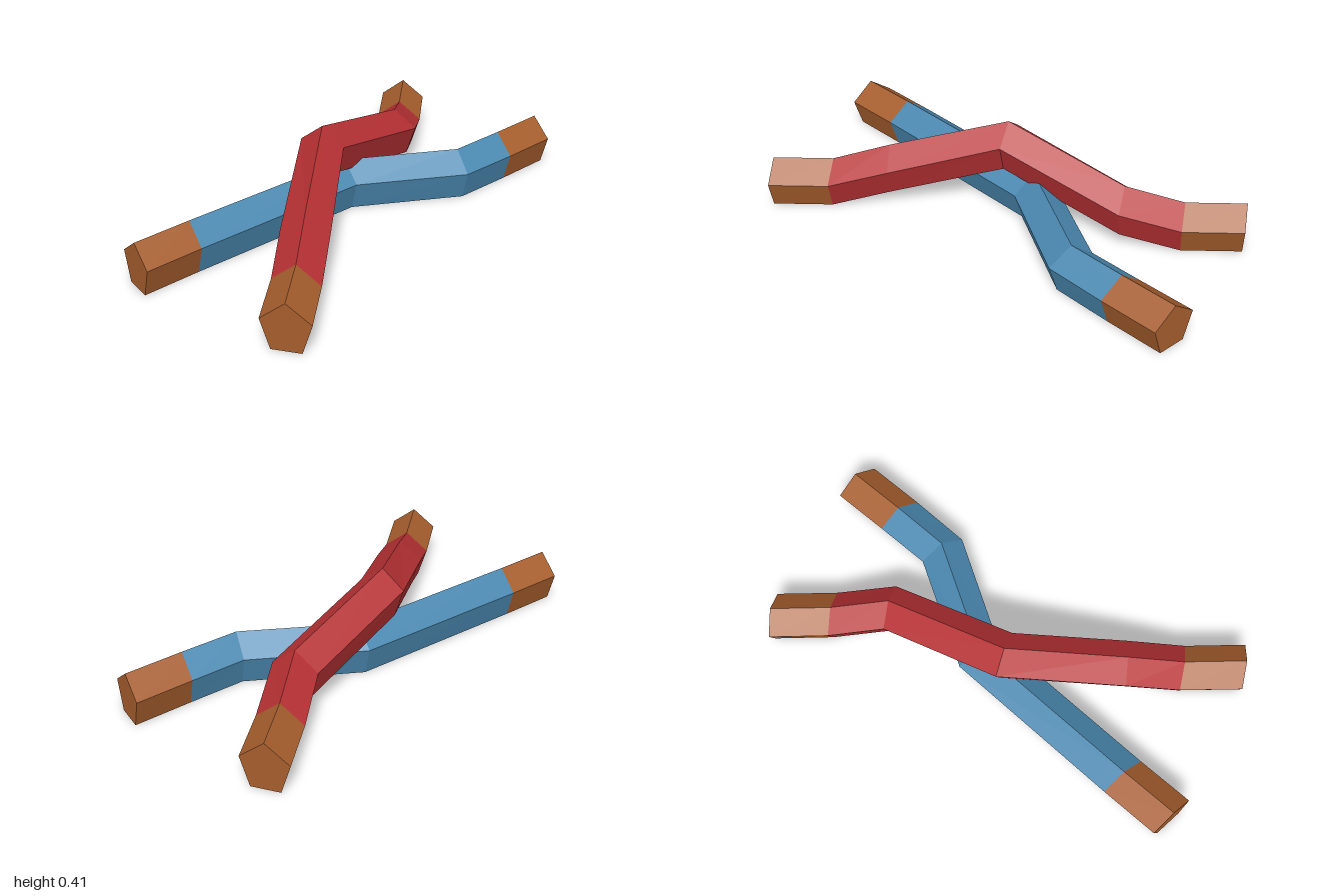
import * as THREE from 'three';

const mat = (name, color) => {
  const m = new THREE.MeshStandardMaterial({ color, flatShading: true });
  m.name = name;
  return m;
};

// Pentagon cross-section, counter-clockwise seen from the front: [sideways, height]
const PENTAGON = [[0, 0.205], [-0.099, 0.127], [-0.06, 0.002], [0.06, 0.002], [0.099, 0.127]];

// Ring of points at [x, lift, z, sideX, sideZ]; (sideX, sideZ) points across the strand
function ring([x, lift, z, sx, sz]) {
  const len = Math.hypot(sx, sz);
  return PENTAGON.map(([s, h]) => [x + (s * sx) / len, lift + h, z + (s * sz) / len]);
}

// Skin a run of rings going from front to back, optionally capping either end
function loft(stations, capFront, capBack) {
  const rings = stations.map(ring);
  const pos = [];
  const tri = (a, b, c) => pos.push(...a, ...b, ...c);
  for (let i = 0; i < rings.length - 1; i++) {
    const near = rings[i], far = rings[i + 1];
    for (let j = 0; j < 5; j++) {
      const k = (j + 1) % 5;
      tri(near[j], far[j], far[k]);
      tri(near[j], far[k], near[k]);
    }
  }
  const first = rings[0], last = rings[rings.length - 1];
  for (let j = 1; j < 4; j++) {
    if (capFront) tri(first[0], first[j], first[j + 1]);
    if (capBack) tri(last[0], last[j + 1], last[j]);
  }
  const geo = new THREE.BufferGeometry();
  geo.setAttribute('position', new THREE.Float32BufferAttribute(pos, 3));
  geo.computeVertexNormals();
  return geo;
}

// One bent strand: coloured body with a brown tip at each end
function strand(name, stations, bodyMat, tipMat) {
  const group = new THREE.Group();
  group.name = name;
  const add = (part, geo, m) => {
    const mesh = new THREE.Mesh(geo, m);
    mesh.name = part;
    group.add(mesh);
  };
  add(name + 'FrontTip', loft(stations.slice(0, 2), true, false), tipMat);
  add(name + 'Body', loft(stations.slice(1, -1), false, false), bodyMat);
  add(name + 'BackTip', loft(stations.slice(-2), false, true), tipMat);
  return group;
}

export function createModel() {
  const red = mat('red', 0xb53033);
  const blue = mat('blue', 0x4a88b0);
  const brown = mat('brown', 0xa65e2d);
  const model = new THREE.Group();
  model.name = 'crossedStrands';

  // Upper strand arches over the lower one
  model.add(strand('upperStrand', [
    [0.487, 0, 0.873, 0.175, -0.095],
    [0.333, 0, 0.667, 0.18, -0.09],
    [0.187, 0.075, 0.472, 0.165, -0.11],
    [-0.114, 0.205, 0.067, 0.19, -0.055],
    [-0.188, 0.075, -0.472, 0.185, -0.075],
    [-0.335, 0, -0.675, 0.175, -0.088],
    [-0.487, 0, -0.877, 0.175, -0.095],
  ], red, brown));

  // Lower strand lies flat on the ground
  model.add(strand('lowerStrand', [
    [-0.223, 0, 0.975, 0.193, 0.042],
    [-0.2, 0, 0.722, 0.19, 0.05],
    [-0.114, 0, -0.067, 0.19, 0.055],
    [0.175, 0, -0.472, 0.18, 0.075],
    [0.2, 0, -0.725, 0.19, 0.05],
    [0.22, 0, -0.977, 0.193, 0.042],
  ], blue, brown));

  return model;
}
